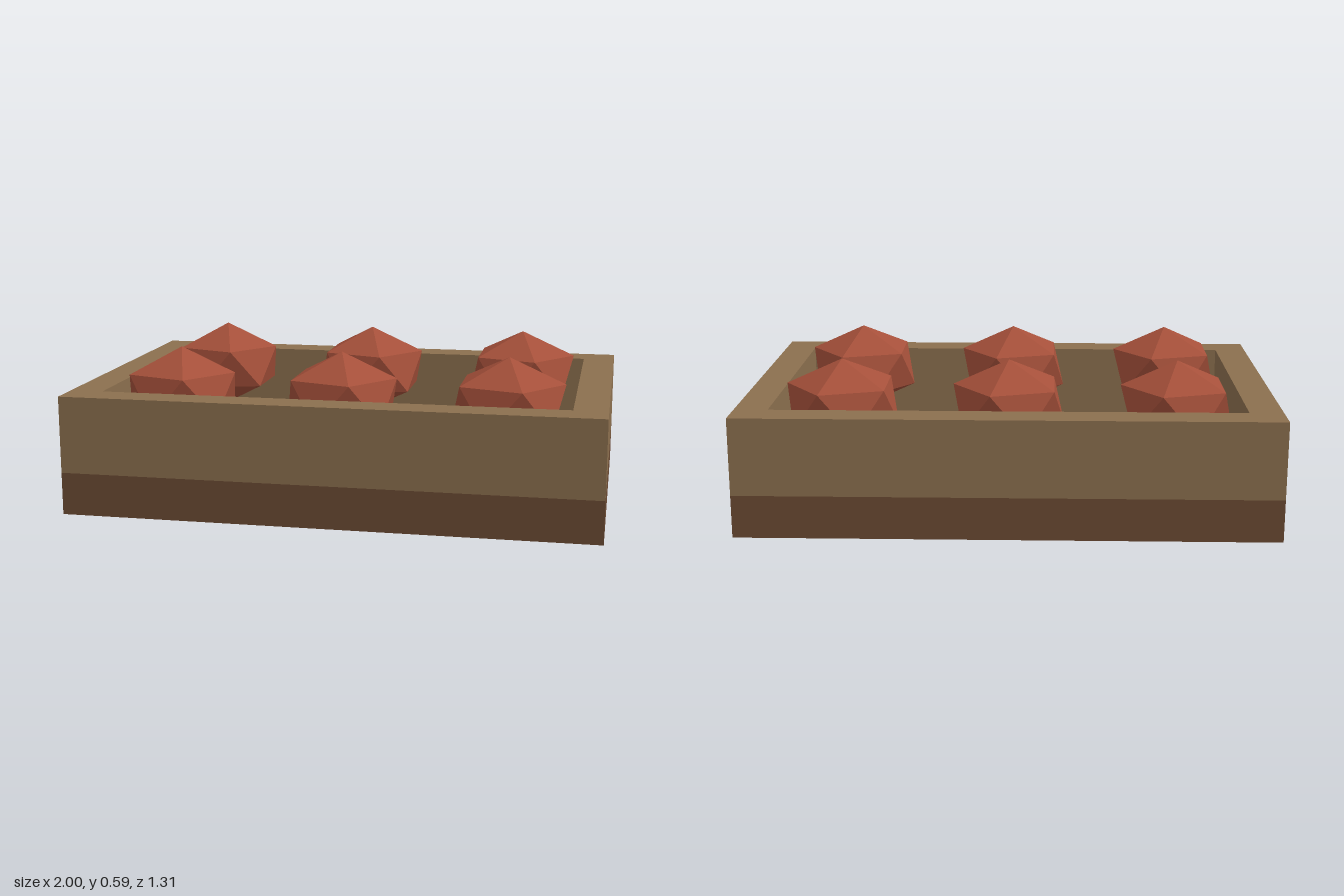
import * as THREE from 'three';

const WIDTH = 2, DEPTH = 1.31, BASE_TOP = 0.16, RIM_TOP = 0.45;

// Adds a w x d rectangle, centred on the origin, to a shape or hole path
function rectangle(path, w, d) {
  path.moveTo(-w / 2, -d / 2);
  path.lineTo(w / 2, -d / 2);
  path.lineTo(w / 2, d / 2);
  path.lineTo(-w / 2, d / 2);
  path.closePath();
  return path;
}

export function createModel() {
  const group = new THREE.Group();
  const paint = (color) => new THREE.MeshStandardMaterial({ color, flatShading: true });
  const add = (name, geometry, material) => {
    const mesh = new THREE.Mesh(geometry, material);
    mesh.name = name;
    group.add(mesh);
    return mesh;
  };

  // Solid dark base, whose top is the tray floor
  add('base', new THREE.BoxGeometry(WIDTH, BASE_TOP, DEPTH), paint(0x6b4a33))
    .position.y = BASE_TOP / 2;

  // Lighter frame of four walls around the floor
  const frame = rectangle(new THREE.Shape(), WIDTH, DEPTH);
  frame.holes.push(rectangle(new THREE.Path(), 1.75, 1.06));
  const walls = new THREE.ExtrudeGeometry(frame, { depth: RIM_TOP - BASE_TOP, bevelEnabled: false });
  walls.rotateX(-Math.PI / 2);
  add('walls', walls, paint(0x8b6f4e)).position.y = BASE_TOP;

  // Faceted balls: icosahedrons turned point-up and flattened
  const golden = (1 + Math.sqrt(5)) / 2;
  const ball = new THREE.IcosahedronGeometry(0.235, 0);
  ball.rotateZ(-Math.atan(1 / golden));
  ball.scale(1, 0.73, 1);
  const red = paint(0xa5503a);
  for (const x of [-0.63, 0, 0.63]) {
    for (const z of [-0.315, 0.315]) {
      add('ball', ball, red).position.set(x, 0.423, z);
    }
  }
  return group;
}
